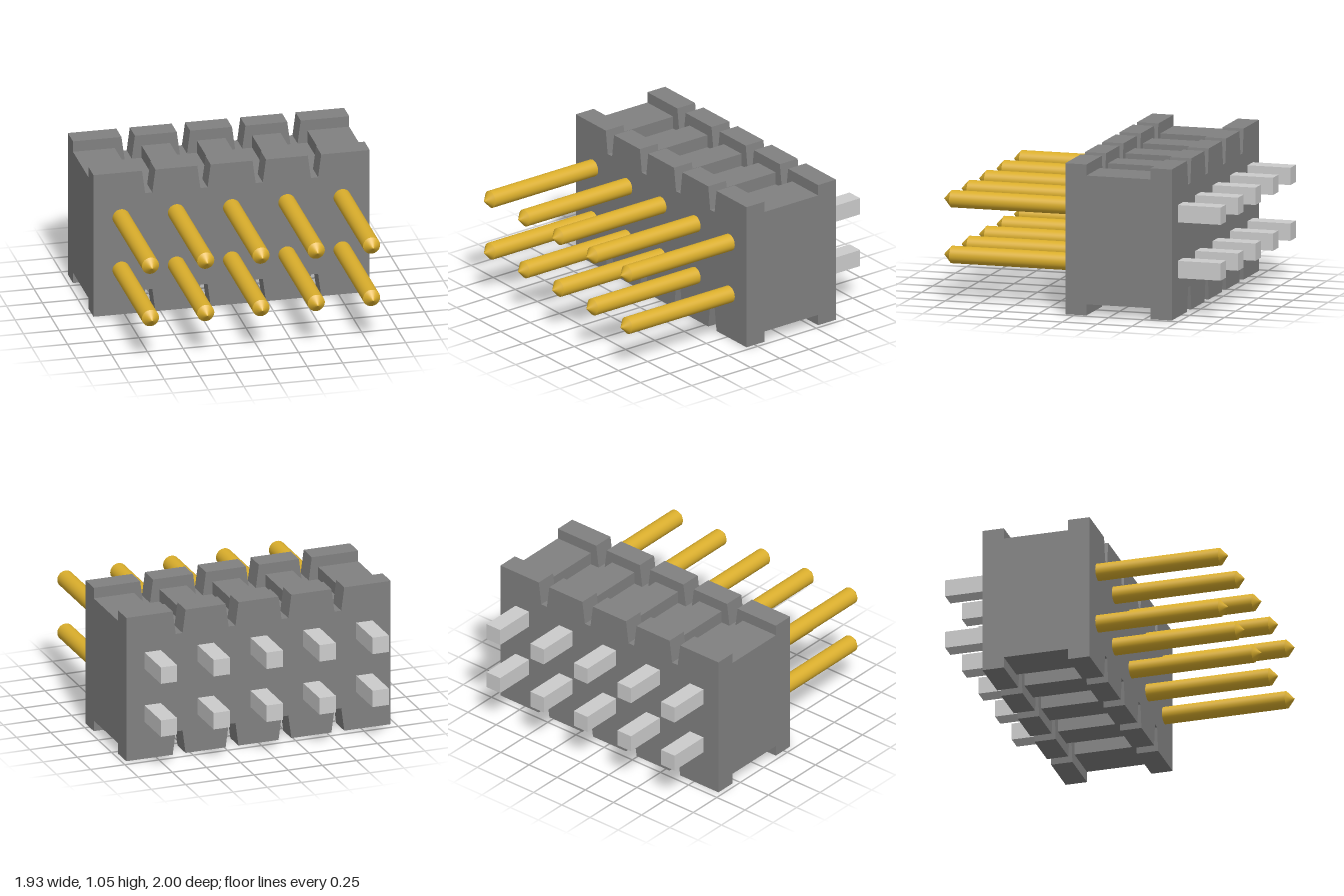
import * as THREE from 'three';

const PITCH = 0.387;
const COLUMNS = [-2, -1, 0, 1, 2].map(i => i * PITCH);
const NOTCHES = [-1.5, -0.5, 0.5, 1.5].map(i => i * PITCH);
const ROWS = [0.33, 0.717];
const HALF = 0.967, HEIGHT = 1.047, NOTCH_FLOOR = 0.167;
const BACK = -0.693, FRONT = 0.07;

// Slab with notches along its top and bottom edges, extruded from z0 to z1
function notchedSlab(inset, mouth, root, z0, z1) {
  const mid = HEIGHT / 2;
  const lower = [[-HALF, inset]];
  for (const x of NOTCHES) {
    lower.push([x - mouth, inset], [x - root, NOTCH_FLOOR], [x + root, NOTCH_FLOOR], [x + mouth, inset]);
  }
  lower.push([HALF, inset]);
  const upper = lower.map(([x, y]) => [x, 2 * mid - y]).reverse();
  const shape = new THREE.Shape([...lower, ...upper].map(p => new THREE.Vector2(...p)));
  return new THREE.ExtrudeGeometry(shape, { depth: z1 - z0, bevelEnabled: false }).translate(0, 0, z0);
}

export function createModel() {
  const model = new THREE.Group();
  const plastic = new THREE.MeshStandardMaterial({ color: 0x808080 });
  const gold = new THREE.MeshStandardMaterial({ color: 0xdaae2c });
  const metal = new THREE.MeshStandardMaterial({ color: 0xcccccc });

  const add = (parent, name, geometry, material, x = 0, y = 0, z = 0) => {
    const mesh = new THREE.Mesh(geometry, material);
    mesh.name = name;
    mesh.position.set(x, y, z);
    parent.add(mesh);
  };

  // Housing: two tall flanges with tapered notches around a lower, wider-notched core
  const housing = new THREE.Group();
  housing.name = 'housing';
  add(housing, 'frontFlange', notchedSlab(0, 0.047, 0.025, -0.082, FRONT), plastic);
  add(housing, 'core', notchedSlab(0.077, 0.094, 0.094, -0.541, -0.082), plastic);
  add(housing, 'backFlange', notchedSlab(0, 0.047, 0.025, BACK, -0.541), plastic);
  model.add(housing);

  // Contacts: round pointed pins in front, square tails behind
  const shaftLength = 0.945 - FRONT;
  const shaft = new THREE.CylinderGeometry(0.06, 0.06, shaftLength, 32, 1, true).rotateX(Math.PI / 2);
  const tip = new THREE.ConeGeometry(0.06, 0.055, 32, 1, true).rotateX(Math.PI / 2);
  const tail = new THREE.BoxGeometry(0.12, 0.12, 1 + BACK);
  for (const y of ROWS) {
    for (const x of COLUMNS) {
      const contact = new THREE.Group();
      contact.name = 'contact';
      contact.position.set(x, y, 0);
      add(contact, 'pinShaft', shaft, gold, 0, 0, FRONT + shaftLength / 2);
      add(contact, 'pinTip', tip, gold, 0, 0, 0.9725);
      add(contact, 'squareTail', tail, metal, 0, 0, (BACK - 1) / 2);
      model.add(contact);
    }
  }
  return model;
}
